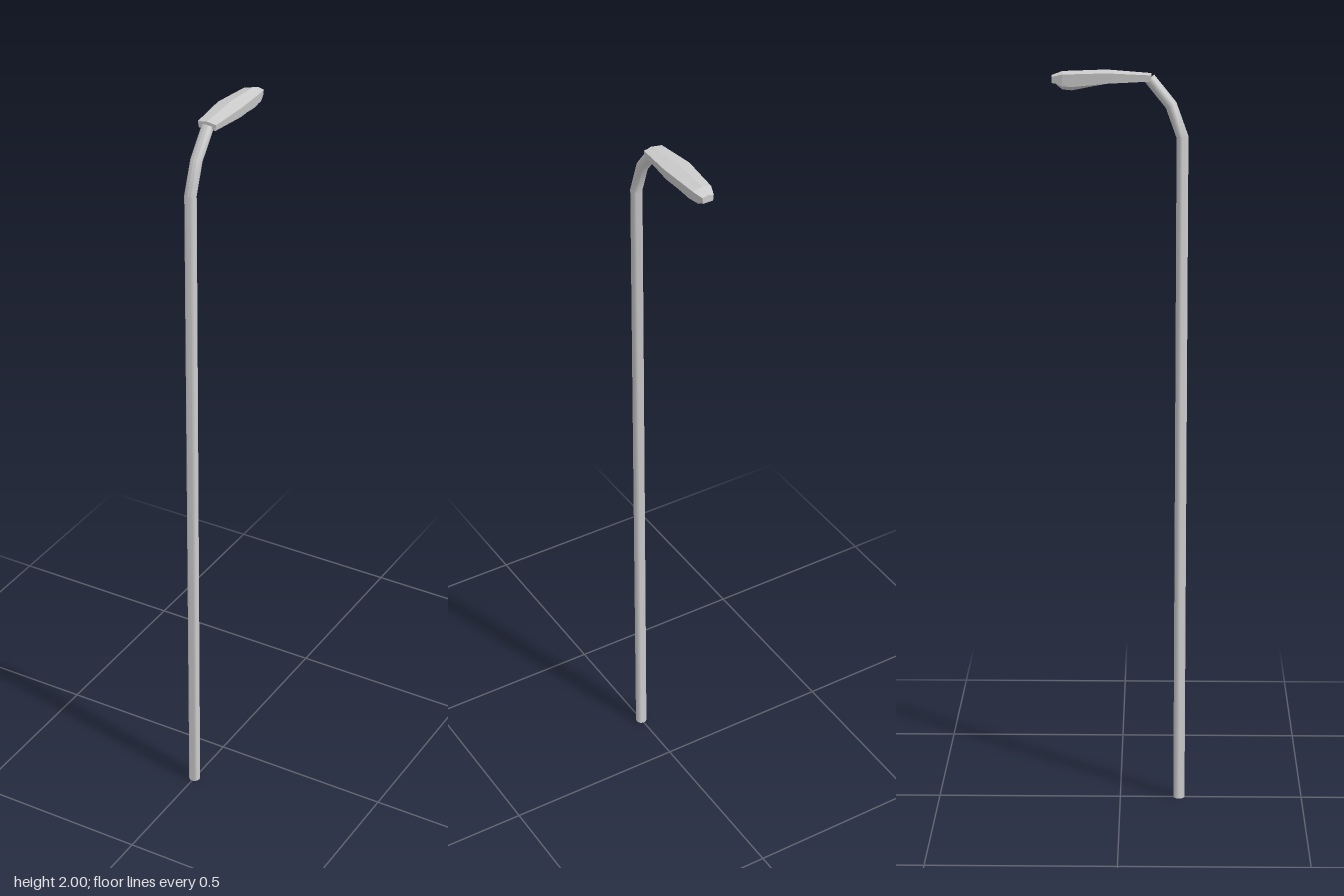
import * as THREE from 'three';
import { toCreasedNormals } from 'three/addons/utils/BufferGeometryUtils.js';

// Skin a list of rings (equal numbers of [x, y, z] points) and cap both ends
function loft(rings, crease) {
  const n = rings[0].length, last = (rings.length - 1) * n, index = [];
  for (let i = 0; i < rings.length - 1; i++) {
    for (let j = 0; j < n; j++) {
      const a = i * n + j, b = i * n + (j + 1) % n;
      index.push(a, b, b + n, a, b + n, a + n);
    }
  }
  for (let j = 1; j < n - 1; j++) {
    index.push(0, j + 1, j, last, last + j, last + j + 1);
  }
  const geometry = new THREE.BufferGeometry();
  geometry.setAttribute('position', new THREE.Float32BufferAttribute(rings.flat(2), 3));
  geometry.setIndex(index);
  return toCreasedNormals(geometry, crease);
}

// Round tube along [y, z] points, mitred at every bend
function tubeRings(path, radius, sides) {
  const dir = (a, b) => new THREE.Vector2(b[0] - a[0], b[1] - a[1]).normalize();
  return path.map((p, i) => {
    const before = dir(path[Math.max(i - 1, 0)], path[Math.max(i, 1)]);
    const after = i < path.length - 1 ? dir(p, path[i + 1]) : before;
    const d = before.clone().add(after).normalize();
    const stretch = 1 / d.dot(before);
    return Array.from({ length: sides }, (_, k) => {
      const t = (k / sides) * Math.PI * 2, s = radius * stretch * Math.sin(t);
      return [radius * Math.cos(t), p[0] + d.y * s, p[1] - d.x * s];
    });
  });
}

export function createModel() {
  const group = new THREE.Group();
  const material = new THREE.MeshStandardMaterial({ color: 0xcccccc });
  const add = (name, geometry) => {
    const mesh = new THREE.Mesh(geometry, material);
    mesh.name = name;
    group.add(mesh);
  };

  // Straight pole running into the bent arm
  const path = [[0, 0.162], [1.825, 0.162], [1.908, 0.132], [1.977, 0.076]];
  add('poleAndArm', loft(tubeRings(path, 0.0155, 12), Math.PI / 3));

  // Lamp housing: z, half width, ridge height, edge height, bottom height
  const housing = [
    [0.08, 0.026, 1.991, 1.987, 1.971],
    [-0.035, 0.035, 2.0, 1.993, 1.966],
    [-0.15, 0.026, 1.996, 1.989, 1.962],
    [-0.178, 0.016, 1.986, 1.982, 1.966],
  ].map(([z, w, top, edge, bottom]) => [
    [w, edge, z], [w * 0.9, bottom, z], [-w * 0.9, bottom, z], [-w, edge, z], [0, top, z],
  ]);
  add('lampHousing', loft(housing, 0.2));

  // Lens bulging from the underside: z, half width, bottom height
  const lens = [
    [-0.04, 0.022, 1.963],
    [-0.085, 0.026, 1.955],
    [-0.125, 0.023, 1.947],
    [-0.15, 0.019, 1.949],
    [-0.165, 0.014, 1.96],
  ].map(([z, w, bottom]) => [
    [w, 1.972, z], [w * 0.95, (bottom + 1.966) / 2, z], [w * 0.5, bottom, z],
    [-w * 0.5, bottom, z], [-w * 0.95, (bottom + 1.966) / 2, z], [-w, 1.972, z],
  ]);
  add('lens', loft(lens, 0.6));

  return group;
}
